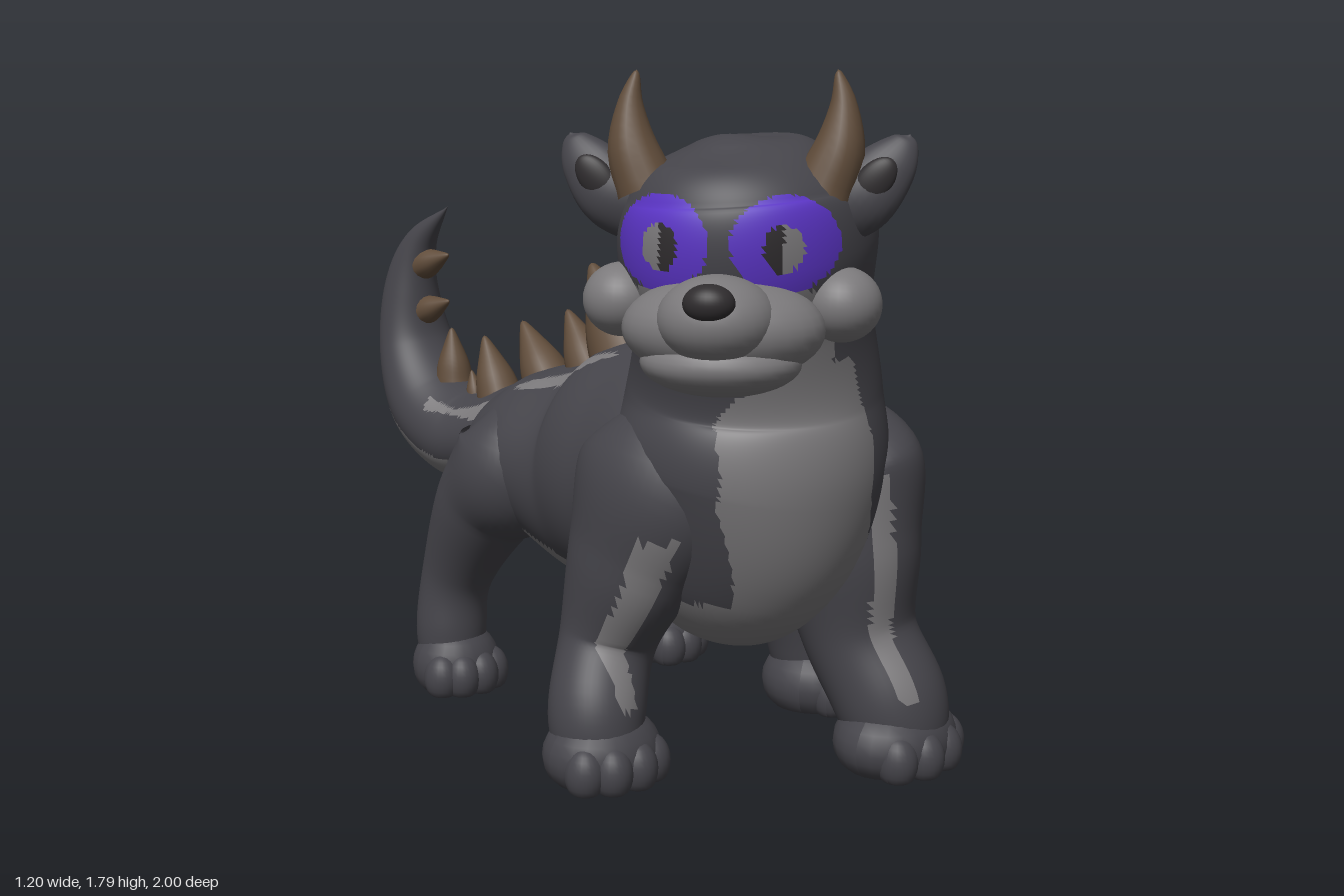
import * as THREE from 'three';

const mat = (name, color) => Object.assign(new THREE.MeshStandardMaterial({ color }), { name });
const fur = mat('charcoal fur', 0x45444a);
const grey = mat('grey marking', 0x7b797b);
const purple = mat('purple eye patch', 0x5a34c4);
const dark = mat('dark nose', 0x2f2c2e);
const brown = mat('brown horn', 0x604c3a);
const palette = [fur, grey, purple, dark];
const FUR = 0, GREY = 1, PURPLE = 2, DARK = 3;

// Smooth closed loft; each section is [x, y, z, half width, half depth]
function loft(sections, around = 40, along = 48) {
  const spline = pts => new THREE.CatmullRomCurve3(pts, false, 'catmullrom', 0.5);
  const path = spline(sections.map(s => new THREE.Vector3(s[0], s[1], s[2])));
  const size = spline(sections.map(s => new THREE.Vector3(s[3], s[4], 0)));
  const pos = [], index = [];
  for (let i = 0; i <= along; i++) {
    const t = i / along, c = path.getPoint(t), r = size.getPoint(t), tan = path.getTangent(t);
    const side = new THREE.Vector3(1, 0, 0).addScaledVector(tan, -tan.x).normalize();
    const other = new THREE.Vector3().crossVectors(tan, side);
    for (let j = 0; j < around; j++) {
      const a = (j / around) * Math.PI * 2;
      const p = c.clone()
        .addScaledVector(side, Math.cos(a) * Math.max(r.x, 0.001))
        .addScaledVector(other, Math.sin(a) * Math.max(r.y, 0.001));
      pos.push(p.x, p.y, p.z);
      if (i < along) {
        const k = (j + 1) % around, A = i * around + j, B = i * around + k;
        index.push(A, B, A + around, B, B + around, A + around);
      }
    }
  }
  const g = new THREE.BufferGeometry();
  g.setAttribute('position', new THREE.Float32BufferAttribute(pos, 3));
  g.setIndex(index);
  g.computeVertexNormals();
  return g;
}

// Sort triangles into colour groups by a rule on their centre
function paint(geo, rule) {
  const p = geo.attributes.position, idx = geo.index.array, bins = palette.map(() => []);
  for (let i = 0; i < idx.length; i += 3) {
    const t = [idx[i], idx[i + 1], idx[i + 2]];
    const mid = f => (f(t[0]) + f(t[1]) + f(t[2])) / 3;
    bins[rule(mid(k => p.getX(k)), mid(k => p.getY(k)), mid(k => p.getZ(k)))].push(...t);
  }
  geo.setIndex(bins.flat());
  let start = 0;
  bins.forEach((b, m) => { if (b.length) geo.addGroup(start, b.length, m); start += b.length; });
  return geo;
}

function add(parent, name, geo, material) {
  const m = new THREE.Mesh(geo, material);
  m.name = name;
  parent.add(m);
  return m;
}

function ball(parent, name, material, [x, y, z], [rx, ry, rz]) {
  const m = add(parent, name, new THREE.SphereGeometry(1, 32, 20).scale(rx, ry, rz), material);
  m.position.set(x, y, z);
  return m;
}

// Slightly bowed cone from base to tip
function spike(parent, name, base, tip, r, bow = 0) {
  const ring = (t, w) => {
    const p = base.map((b, i) => b + (tip[i] - b) * t);
    return [p[0] + bow * Math.sin(t * Math.PI), p[1], p[2], w * r, w * r];
  };
  add(parent, name, loft([ring(0, 1), ring(0.35, 0.82), ring(0.7, 0.45), ring(0.95, 0.15), ring(1, 0)], 16, 16), brown);
}

// Flat-soled paw with four shallow toes
function paw(parent, x, z, turn, w, d) {
  const g = new THREE.Group();
  g.name = 'paw';
  const lump = (name, cx, cy, cz, rx, ry, rz) => {
    const geo = new THREE.SphereGeometry(1, 24, 14).scale(rx, ry, rz).translate(cx, cy, cz);
    const p = geo.attributes.position;
    for (let i = 0; i < p.count; i++) p.setY(i, Math.max(0, p.getY(i)));
    geo.computeVertexNormals();
    add(g, name, geo, fur);
  };
  lump('pawPad', 0, 0.07, 0, w, 0.12, d);
  for (const a of [-0.85, -0.29, 0.29, 0.85])
    lump('toe', Math.sin(a) * w * 0.82, 0.05, Math.cos(a) * d * 0.78, 0.052, 0.07, 0.055);
  g.position.set(x, 0, z);
  g.rotation.y = turn;
  parent.add(g);
}

// Leg from hip height, hip and thigh [x, z, half width, half depth], shin [x, z] and foot [x, z, turn, width, depth]
function leg(parent, name, high, hip, thigh, shin, foot, striped = () => false) {
  const g = new THREE.Group();
  g.name = name;
  const [hx, hz, hw, hd] = hip, [tx, tz, tw, td] = thigh, [fx, fz, , w] = foot;
  const limb = loft([
    [hx * 0.45, high + 0.17, hz - 0.03, hw * 0.45, hd * 0.4], [hx, high, hz, hw, hd], [tx, 0.56, tz, tw, td],
    [shin[0], 0.34, shin[1], w * 0.8, w * 0.8],
    [fx, 0.17, fz - 0.02, w * 0.8, w * 0.77], [fx, 0.05, fz, w * 0.7, w * 0.7],
  ], 52, 48);
  add(g, 'limb', paint(limb, (x, y, z) => (striped(x, y, z) ? GREY : FUR)), palette);
  paw(g, ...foot);
  parent.add(g);
}

// Head frame: the head is turned towards the model's right
const TURN = -1, HX = -0.2, HZ = 0.61;
const toHead = (x, z) => {
  const c = Math.cos(TURN), s = Math.sin(TURN), dx = x - HX, dz = z - HZ;
  return [dx * c - dz * s, dx * s + dz * c];
};

export function createModel() {
  const model = new THREE.Group();
  model.name = 'hornedCreature';

  // Torso with grey belly and back stripes
  const torso = loft([
    [0, 0.77, -0.49, 0, 0], [0.01, 0.76, -0.45, 0.16, 0.13], [0.01, 0.73, -0.35, 0.27, 0.2],
    [0.02, 0.72, -0.2, 0.33, 0.25], [0.02, 0.7, 0, 0.33, 0.33], [-0.01, 0.72, 0.2, 0.35, 0.36],
    [-0.04, 0.73, 0.5, 0.33, 0.33], [-0.06, 0.7, 0.74, 0, 0],
  ], 110, 90);
  add(model, 'torso', paint(torso, (x, y, z) => {
    if (y < 0.5 - Math.min(z, 0) * 0.25 && Math.abs(x) < 0.24) return GREY;
    const width = 0.03 * Math.sqrt(Math.max(0, 1 - ((z + 0.06) / 0.2) ** 2));
    return y > 0.85 && Math.abs(Math.abs(x) - 0.155) < width ? GREY : FUR;
  }), palette);

  // Chest, neck and skull in one sweep, with bib, jaw and eye patches
  const front = loft([
    [-0.02, 0.35, 0.4, 0, 0], [-0.03, 0.4, 0.42, 0.16, 0.18], [-0.07, 0.57, 0.48, 0.28, 0.32],
    [-0.06, 0.8, 0.53, 0.36, 0.35], [-0.06, 1.0, 0.545, 0.33, 0.32], [-0.115, 1.2, 0.585, 0.31, 0.285],
    [-0.165, 1.38, 0.61, 0.335, 0.305], [-0.18, 1.5, 0.61, 0.3, 0.28], [-0.185, 1.58, 0.61, 0.215, 0.2],
    [-0.19, 1.62, 0.61, 0.12, 0.11], [-0.19, 1.634, 0.61, 0, 0],
  ], 160, 140);
  add(model, 'chestNeckAndSkull', paint(front, (x, y, z) => {
    const [s, f] = toHead(x, z);
    const inside = (cs, cy, w, h) => f > 0 && ((Math.abs(s) - cs) / w) ** 2 + ((y - cy) / h) ** 2 < 1;
    if (inside(0.145, 1.38, 0.045, 0.055)) return Math.abs(s) > 0.145 ? GREY : DARK;
    if (inside(0.145, 1.39, 0.12, 0.112)) return PURPLE;
    if (f > 0.08 && y > 1.09 && y < 1.28) return GREY;
    const mid = -0.18 + Math.max(0, 0.75 - y) * 0.35;
    const half = 0.19 - Math.max(0, y - 0.9) * 0.35;
    if (z > 0.5 && y < 1.1 && Math.abs(x - mid) < half) return GREY;
    return y < 0.48 ? GREY : FUR;
  }), palette);

  // Face, ears and horns
  const head = new THREE.Group();
  head.name = 'face';
  head.position.set(HX, 0, HZ);
  head.rotation.y = TURN;
  model.add(head);
  ball(head, 'muzzle', grey, [0, 1.19, 0.22], [0.24, 0.125, 0.18]);
  ball(head, 'snout', grey, [0, 1.22, 0.31], [0.14, 0.105, 0.14]);
  ball(head, 'chin', grey, [0, 1.115, 0.25], [0.19, 0.08, 0.16]);
  ball(head, 'nose', dark, [0, 1.27, 0.42], [0.06, 0.045, 0.045]);
  for (const m of [-1, 1]) {
    ball(head, 'cheek', grey, [m * 0.265, 1.24, 0.11], [0.095, 0.09, 0.1]);
    add(head, 'ear', loft([
      [m * 0.2, 1.4, 0.05, 0.05, 0.04], [m * 0.29, 1.48, 0.06, 0.085, 0.055],
      [m * 0.36, 1.56, 0.05, 0.07, 0.04], [m * 0.4, 1.615, 0.04, 0.035, 0.02], [m * 0.41, 1.635, 0.04, 0, 0],
    ], 28, 28), fur);
    const inner = ball(head, 'innerEar', dark, [m * 0.33, 1.525, 0.092], [0.042, 0.07, 0.02]);
    inner.rotation.z = -m * 0.7;
    spike(head, 'horn', [m * 0.21, 1.5, 0.08], [m * 0.24, 1.785, 0.06], 0.076, m * 0.03);
  }

  // Legs in mid stride
  leg(model, 'frontLeftLeg', 0.78, [0.16, 0.61, 0.2, 0.26], [0.165, 0.67, 0.18, 0.21], [0.18, 0.71], [0.2, 0.82, 0.1, 0.19, 0.15],
    (x, y, z) => y > 0.2 && y < 0.79 && z > 0.72 && Math.abs(x - 0.07 - (0.8 - y) * 0.09) < 0.028);
  leg(model, 'frontRightLeg', 0.78, [-0.25, 0.43, 0.2, 0.25], [-0.32, 0.37, 0.15, 0.19], [-0.34, 0.3], [-0.42, 0.36, -0.2, 0.16, 0.14],
    (x, y, z) => y > 0.2 && y < 0.65 && z > 0.34 && Math.abs(x + 0.42) < 0.028);
  leg(model, 'middleLeftLeg', 0.72, [0.25, 0.27, 0.18, 0.21], [0.33, 0.3, 0.15, 0.18], [0.38, 0.33], [0.43, 0.36, 0.4, 0.15, 0.15]);
  leg(model, 'hindLeftLeg', 0.7, [0.24, -0.17, 0.19, 0.21], [0.32, -0.15, 0.16, 0.19], [0.4, -0.24], [0.44, -0.28, 0.4, 0.135, 0.14]);
  leg(model, 'hindRightLeg', 0.7, [-0.15, -0.24, 0.19, 0.19], [-0.18, -0.36, 0.15, 0.15], [-0.19, -0.48], [-0.2, -0.48, -0.2, 0.13, 0.12]);

  // Upswept tail with grey underside and stripes
  const tail = loft([
    [0.01, 0.75, -0.28, 0.18, 0.18], [0.01, 0.71, -0.53, 0.165, 0.135], [0.01, 0.71, -0.67, 0.165, 0.14],
    [0.01, 0.79, -0.81, 0.155, 0.13], [0.01, 0.95, -0.9, 0.125, 0.1], [0, 1.13, -0.91, 0.085, 0.08],
    [0, 1.27, -0.86, 0.05, 0.05], [0, 1.385, -0.73, 0, 0],
  ], 80, 100);
  add(model, 'tail', paint(tail, (x, y, z) => {
    if (z < -0.45 && y < 1 && Math.hypot(z + 0.58, y - 1.08) > 0.43) return GREY;
    return z < -0.38 && z > -0.7 && y > 0.785 && Math.abs(Math.abs(x) - 0.125) < 0.022 ? GREY : FUR;
  }), palette);

  // Spines from nape to tail: base y, z and tip y, z; width follows length
  const spines = [
    [1.25, 0.36, 1.37, 0.21], [1.07, 0.22, 1.25, 0.12], [1, 0.05, 1.26, -0.1], [0.95, -0.11, 1.12, -0.21],
    [0.89, -0.28, 1.07, -0.4], [0.83, -0.5, 1.01, -0.57], [0.82, -0.61, 0.9, -0.63],
    [0.86, -0.71, 1.02, -0.72], [1.06, -0.85, 1.1, -0.73], [1.2, -0.86, 1.24, -0.73],
  ];
  for (const [by, bz, ty, tz] of spines) {
    const x = -0.22 * Math.max(0, bz);
    spike(model, 'spine', [x, by, bz], [x, ty, tz], 0.36 * Math.hypot(ty - by, tz - bz));
  }
  return model;
}
